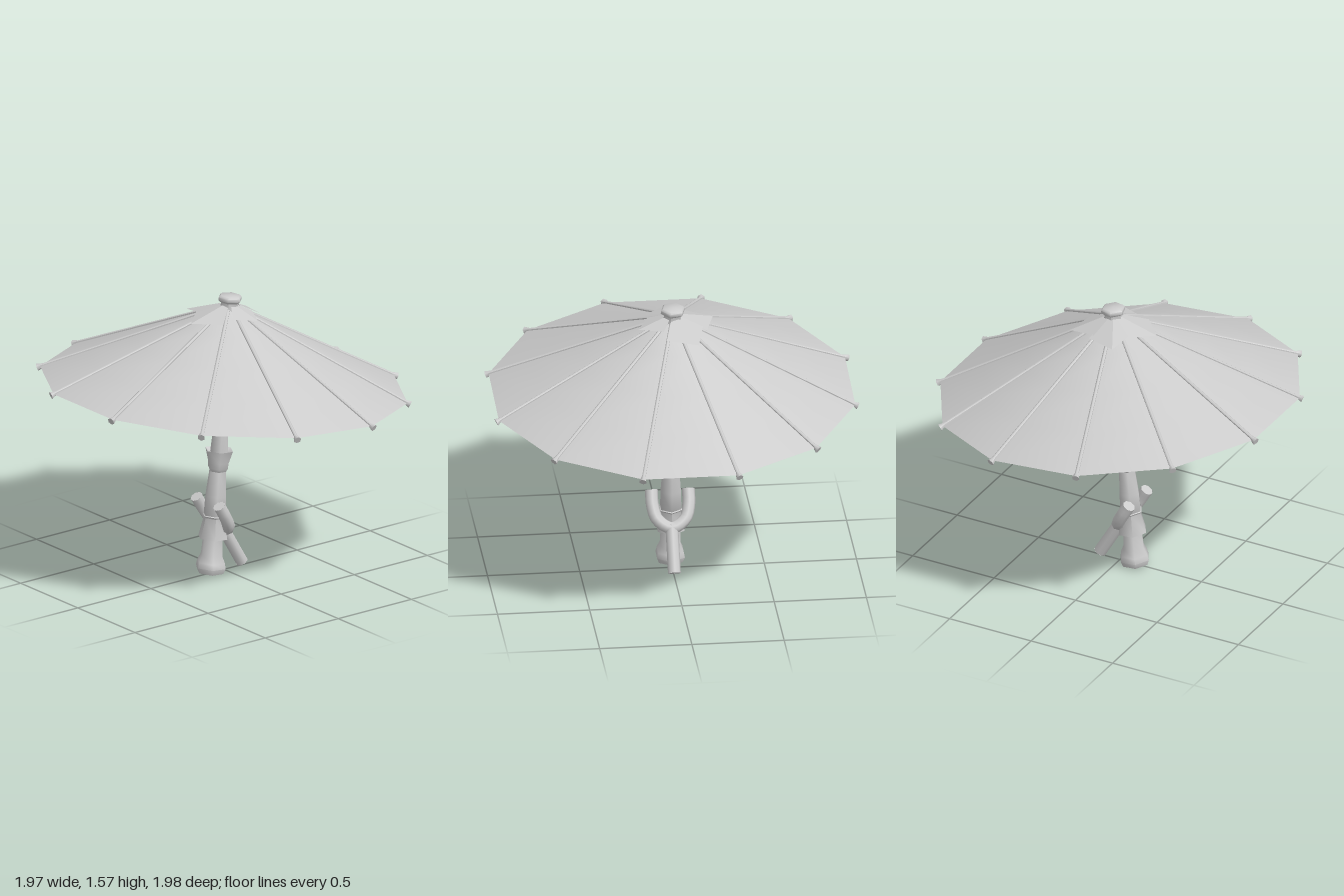
import * as THREE from 'three';
import { toCreasedNormals } from 'three/addons/utils/BufferGeometryUtils.js';

const APEX = 1.51, RIM = 1.055, SLOPE = APEX - RIM, RIBS = 12;
const material = new THREE.MeshStandardMaterial({ color: 0xcccccc, side: THREE.DoubleSide });
const flatMaterial = new THREE.MeshStandardMaterial({ color: 0xcccccc, side: THREE.DoubleSide, flatShading: true });

function add(parent, name, geometry, mat = material) {
  const mesh = new THREE.Mesh(geometry, mat);
  mesh.name = name;
  parent.add(mesh);
  return mesh;
}

// Turned part from [radius, height] pairs, with sharp profile edges
function turned(profile, sides = 6, start = Math.PI / 6) {
  const points = profile.map(([r, y]) => new THREE.Vector2(r, y));
  return toCreasedNormals(new THREE.LatheGeometry(points, sides, start), 1.15);
}

// Round stick along a path with flat ends
function stick(parent, name, points, radius, segments) {
  const curve = new THREE.CatmullRomCurve3(points);
  const group = new THREE.Group();
  group.name = name;
  add(group, name + 'Body', new THREE.TubeGeometry(curve, segments, radius, 8));
  for (const t of [0, 1]) {
    const cap = add(group, name + 'End', new THREE.CircleGeometry(radius, 8));
    cap.position.copy(curve.getPoint(t));
    const out = curve.getTangent(t).multiplyScalar(t ? 1 : -1);
    cap.quaternion.setFromUnitVectors(new THREE.Vector3(0, 0, 1), out);
  }
  parent.add(group);
}

export function createModel() {
  const model = new THREE.Group();
  model.name = 'parasol';

  // Everything on the pole shares its slight lean
  const leaning = new THREE.Group();
  leaning.name = 'leaningParasol';
  leaning.position.set(-0.093, 0.008, 0);
  leaning.rotation.z = -0.0875;
  model.add(leaning);

  // Bamboo pole, segment by segment
  const pole = new THREE.Group();
  pole.name = 'pole';
  leaning.add(pole);
  add(pole, 'poleFoot', turned([[0, 0], [0.075, 0], [0.087, 0.03], [0.08, 0.06], [0.062, 0.1], [0.056, 0.22]]));
  add(pole, 'lowerSleeve', turned([[0.054, 0.2], [0.084, 0.195], [0.06, 0.31], [0.068, 0.32], [0.05, 0.335]]));
  add(pole, 'middleSegment', turned([[0.05, 0.3], [0.063, 0.32], [0.06, 0.43], [0.047, 0.58]]));
  add(pole, 'collar', turned([[0.047, 0.57], [0.058, 0.59], [0.06, 0.62], [0.08, 0.69], [0.04, 0.67]]));
  add(pole, 'upperSegment', turned([[0.052, 0.66], [0.036, 0.92]]));
  add(pole, 'topSegment', turned([[0.036, 0.905], [0.049, 0.91], [0.046, 0.95], [0.038, 1.12], [0.038, 1.5]]));

  // Funnel-shaped hub under the canopy
  add(leaning, 'hub', turned([[0.038, 1.09], [0.052, 1.1], [0.055, 1.16], [0.13, 1.27], [0.235, 1.39]], 8));

  // Canopy and ribs
  const canopy = add(leaning, 'canopy',
    new THREE.ConeGeometry(1, SLOPE, RIBS, 4, true, Math.PI / RIBS));
  canopy.position.y = (APEX + RIM) / 2;

  const slant = Math.atan(SLOPE), length = 1.015 / Math.cos(slant);
  const ribGeometry = turned([[0, 0.06], [0.011, 0.06], [0.011, length - 0.035], [0.021, length], [0, length]]);
  for (let i = 0; i < RIBS; i++) {
    const pivot = new THREE.Group();
    pivot.name = 'ribPivot';
    pivot.position.y = APEX;
    pivot.rotation.y = ((i + 0.5) / RIBS) * Math.PI * 2;
    add(pivot, 'rib', ribGeometry).rotation.z = -Math.PI / 2 - slant;
    leaning.add(pivot);
  }

  // Folded cloth patches round the top: side, outer and side corner as [x, z]
  const patches = [
    [[-0.13, -0.12], [-0.26, 0], [-0.14, 0.13]],
    [[0.06, -0.18], [-0.11, -0.23], [-0.14, -0.1]],
    [[0.17, 0.05], [0.21, -0.12], [0.04, -0.16]],
    [[-0.07, 0.13], [0.05, 0.19], [0.11, 0.06]],
  ];
  for (const corners of patches) {
    const [a, b, c] = corners.map(([x, z], i) =>
      [x, APEX - SLOPE * Math.hypot(x, z) + (i === 1 ? 0.04 : 0.022), z]);
    const centre = [0, APEX + 0.015, 0];
    const geometry = new THREE.BufferGeometry();
    geometry.setAttribute('position',
      new THREE.Float32BufferAttribute([centre, b, a, centre, c, b].flat(), 3));
    geometry.computeVertexNormals();
    add(leaning, 'topPatch', geometry, flatMaterial);
  }

  // Knob on the tip
  add(leaning, 'knob', turned([[0.06, 1.48], [0.05, 1.52], [0.067, 1.533], [0.067, 1.55], [0.056, 1.56], [0, 1.56]], 6, 0.25));

  // Forked branch: a straight stem whose two prongs straddle the pole
  const branch = new THREE.Group();
  branch.name = 'forkedBranch';
  model.add(branch);
  const onBranch = (y, z) => new THREE.Vector3(0.118 - 0.588 * (y - 0.027), y, z);
  stick(branch, 'stem', [onBranch(0.022, 0), onBranch(0.25, 0)], 0.035, 1);
  const prong = [[0.415, 0.1], [0.34, 0.098], [0.275, 0.075]];
  stick(branch, 'prongs', [
    ...prong.map(([y, z]) => onBranch(y, z)),
    onBranch(0.235, 0),
    ...prong.map(([y, z]) => onBranch(y, -z)).reverse(),
  ], 0.035, 20);

  return model;
}
